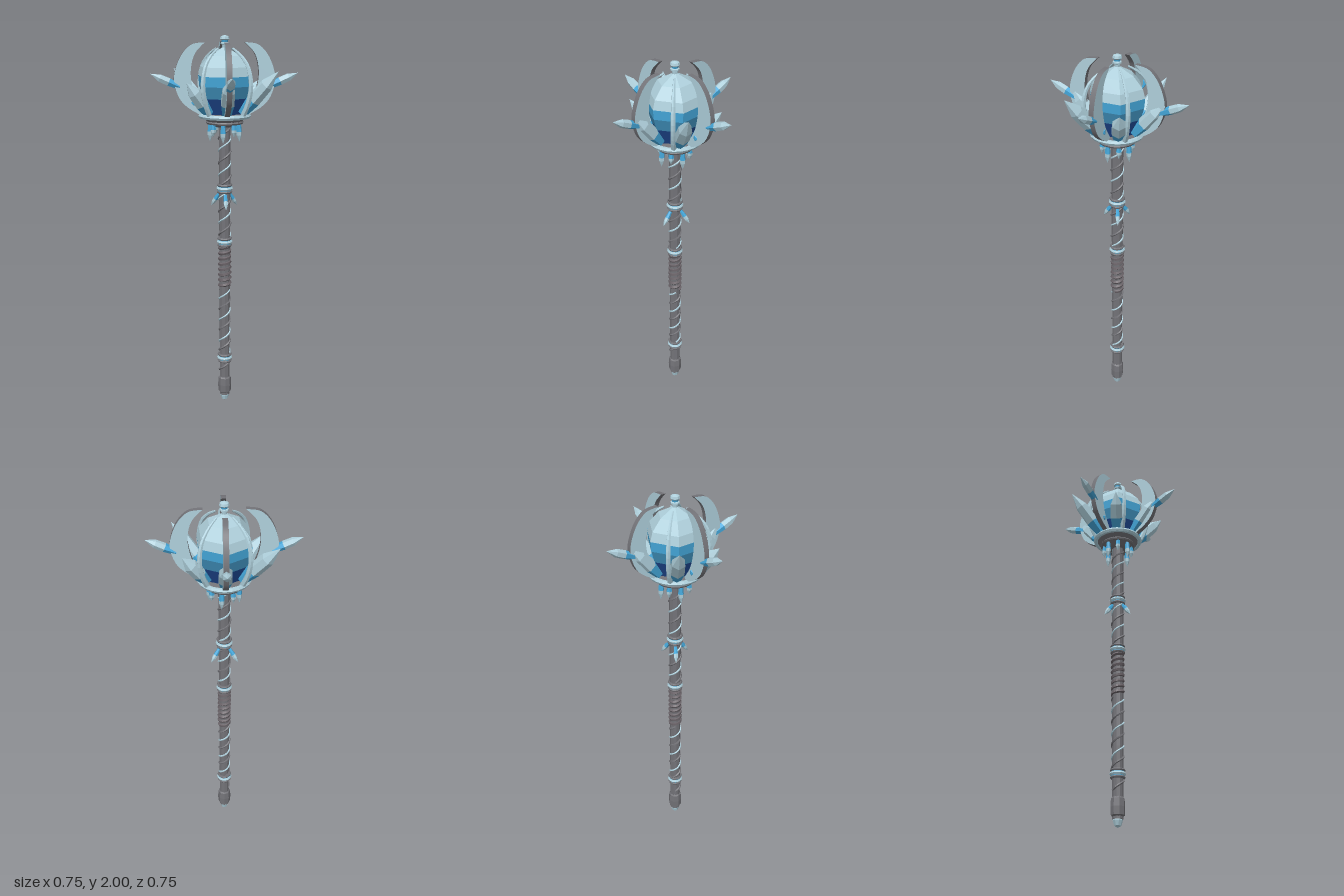
import * as THREE from 'three';

export function createModel() {
  const model = new THREE.Group();
  const mat = (name, color) => {
    const m = new THREE.MeshStandardMaterial({ color, flatShading: true });
    m.name = name;
    return m;
  };
  const ice = mat('pale ice', 0xafd0dc);
  const blue = mat('bright blue', 0x45a9dc);
  const midBlue = mat('mid blue', 0x3f8fba);
  const navy = mat('deep navy', 0x1c448a);
  const iron = mat('grey iron', 0x737378);
  const leather = mat('grip leather', 0x6b6469);

  const add = (name, geo, material, parent = model) => {
    const m = new THREE.Mesh(geo, material);
    m.name = name;
    parent.add(m);
    return m;
  };
  // Turned part from [radius, height] pairs, listed bottom to top
  const turned = (name, pts, sides, material, parent) =>
    add(name, new THREE.LatheGeometry(pts.map(p => new THREE.Vector2(...p)), sides), material, parent);
  const ring = (name, y, radius, tube, material, sides = 20) => {
    const t = add(name, new THREE.TorusGeometry(radius, tube, 6, sides), material);
    t.rotation.x = Math.PI / 2;
    t.position.y = y;
  };
  // Point at angle a from +x towards +z
  const polar = (a, r, y) => new THREE.Vector3(Math.cos(a) * r, y, Math.sin(a) * r);
  // Six-sided crystal with a blue root and a pale point
  const crystal = (name, from, to, r, split = 0.35) => {
    const dir = to.clone().sub(from), L = dir.length();
    const g = new THREE.Group();
    g.name = name;
    turned('root', [[0, 0], [r * 0.7, 0.01 * L], [r, split * L]], 6, blue, g);
    turned('point', [[r, split * L], [r * 0.92, 0.68 * L], [0, L]], 6, ice, g);
    g.position.copy(from);
    g.quaternion.setFromUnitVectors(new THREE.Vector3(0, 1, 0), dir.normalize());
    model.add(g);
  };
  const helix = (name, y0, y1, radius, tube, turns, phase, material) => {
    const n = Math.ceil(turns * 10), pts = [];
    for (let i = 0; i <= n; i++)
      pts.push(polar(phase - (i / n) * turns * Math.PI * 2, radius, y0 + (y1 - y0) * i / n));
    add(name, new THREE.TubeGeometry(new THREE.CatmullRomCurve3(pts), n * 2, tube, 5), material);
  };

  // Shaft, pommel and grip
  turned('shaft', [[0, 0.04], [0.027, 0.04], [0.028, 0.4], [0.031, 1.57], [0, 1.57]], 10, iron);
  turned('pommel', [[0.024, 0.05], [0.035, 0.06], [0.037, 0.1], [0.034, 0.14], [0.026, 0.15]], 8, iron);
  turned('pommelGem', [[0, 0], [0.017, 0.01], [0.025, 0.035], [0.022, 0.055]], 8, ice);
  helix('lowerSpiral', 0.29, 0.66, 0.029, 0.005, 3, 0.5, ice);
  helix('lowerSpiralDark', 0.18, 0.66, 0.029, 0.006, 4, 3.6, iron);
  helix('upperSpiral', 0.96, 1.54, 0.03, 0.005, 4.5, 0.5, ice);
  helix('upperSpiralDark', 0.96, 1.54, 0.03, 0.006, 4.5, 3.6, iron);
  helix('gripWrap', 0.67, 0.91, 0.027, 0.01, 8, 0, leather);

  // Banded rings on the shaft
  for (const [y, r] of [[0.262, 0.032], [0.93, 0.032], [1.22, 0.034]]) {
    turned('band', [[r - 0.004, y - 0.022], [r + 0.002, y - 0.02], [r + 0.002, y + 0.02], [r - 0.004, y + 0.022]], 12, blue);
    ring('bandLower', y - 0.018, r, 0.007, iron, 14);
    ring('bandMiddle', y, r, 0.01, ice, 14);
    ring('bandUpper', y + 0.018, r, 0.007, iron, 14);
  }
  for (let i = 0; i < 3; i++) {
    const a = Math.PI / 2 + i * Math.PI * 2 / 3;
    crystal('shaftShard', polar(a, 0.03, 1.19), polar(a, 0.08, 1.12), 0.012, 0.45);
  }

  // Collar with hanging icicles
  turned('collarCup', [[0, 1.545], [0.055, 1.545], [0.09, 1.57], [0.118, 1.6], [0.06, 1.615], [0, 1.615]], 16, iron);
  ring('collarRim', 1.6, 0.122, 0.013, ice, 24);
  ring('collarLowerRim', 1.567, 0.088, 0.009, iron);
  for (let i = 0; i < 8; i++) {
    const a = i * Math.PI / 4 + 0.2;
    crystal('icicle', polar(a, 0.073, 1.57), polar(a, 0.076, i % 2 ? 1.495 : 1.465), 0.014, 0.5);
  }

  // Orb, split into colour layers
  const orb = new THREE.Group();
  orb.name = 'orb';
  orb.rotation.y = 0.06;
  model.add(orb);
  turned('orbBase', [[0, 1.6], [0.085, 1.6], [0.122, 1.69]], 6, navy, orb);
  turned('orbLower', [[0.122, 1.69], [0.14, 1.75]], 6, midBlue, orb);
  turned('orbMiddle', [[0.14, 1.75], [0.145, 1.8]], 6, blue, orb);
  turned('orbTop', [[0.145, 1.8], [0.132, 1.845], [0.085, 1.9], [0, 1.945]], 6, ice, orb);

  // Finial
  turned('finialNeck', [[0.012, 1.93], [0.014, 1.952], [0.022, 1.955], [0.022, 1.962], [0.014, 1.965]], 8, ice);
  turned('finialBand', [[0.014, 1.962], [0.017, 1.974]], 8, blue);
  turned('finialGem', [[0.014, 1.972], [0.024, 1.98], [0.021, 1.992], [0, 2]], 8, ice);

  // Crescent blades with a shard and a stud on each, facing the four sides
  const blade = new THREE.Shape();
  blade.moveTo(0.1, 1.965);
  blade.splineThru([[0.17, 1.952], [0.225, 1.89], [0.256, 1.79], [0.235, 1.7], [0.19, 1.645], [0.115, 1.6]]
    .map(p => new THREE.Vector2(...p)));
  blade.lineTo(0.1, 1.62);
  blade.splineThru([[0.145, 1.69], [0.168, 1.77], [0.17, 1.84], [0.15, 1.91], [0.1, 1.965]]
    .map(p => new THREE.Vector2(...p)));
  const bladeGeo = new THREE.ExtrudeGeometry(blade, { depth: 0.026, bevelEnabled: false, curveSegments: 14 });
  bladeGeo.translate(0, 0, -0.013);
  for (let i = 0; i < 4; i++) {
    const a = i * Math.PI / 2;
    add('crescentBlade', bladeGeo, [ice, iron]).rotation.y = a;
    crystal('bladeShard', polar(a, 0.225, 1.745), polar(a, 0.374, 1.812), 0.022, 0.38);
    const stud = add('bladeStud', new THREE.IcosahedronGeometry(0.021, 0), blue);
    stud.position.copy(polar(a, 0.156, 1.667));
  }

  // Large crystals fanned around the orb
  const reach = [[0.29, 1.83], [0.255, 1.8], [0.23, 1.775]];
  for (let i = 0; i < 6; i++) {
    const a = Math.PI / 6 + i * Math.PI / 3;
    const [r, y] = reach[i % 3];
    crystal('largeCrystal', polar(a, 0.095, 1.615), polar(a, r, y), 0.037, 0.32);
  }

  // Tapered claws hugging the orb on the diagonals
  for (let i = 0; i < 4; i++) {
    const a = Math.PI / 4 + i * Math.PI / 2;
    const path = new THREE.CatmullRomCurve3([[0.115, 1.6], [0.15, 1.67], [0.168, 1.76], [0.148, 1.85], [0.1, 1.905], [0.052, 1.935]]
      .map(([r, y]) => polar(a, r, y)));
    const geo = new THREE.TubeGeometry(path, 14, 0.014, 6);
    // Narrow the tube towards its upper end
    const pos = geo.attributes.position, v = new THREE.Vector3();
    for (let k = 0; k < pos.count; k++) {
      const t = Math.floor(k / 7) / 14, c = path.getPointAt(t);
      v.fromBufferAttribute(pos, k).sub(c).multiplyScalar(1 - 0.65 * t * t).add(c);
      pos.setXYZ(k, v.x, v.y, v.z);
    }
    add('claw', geo, ice);
  }
  return model;
}
